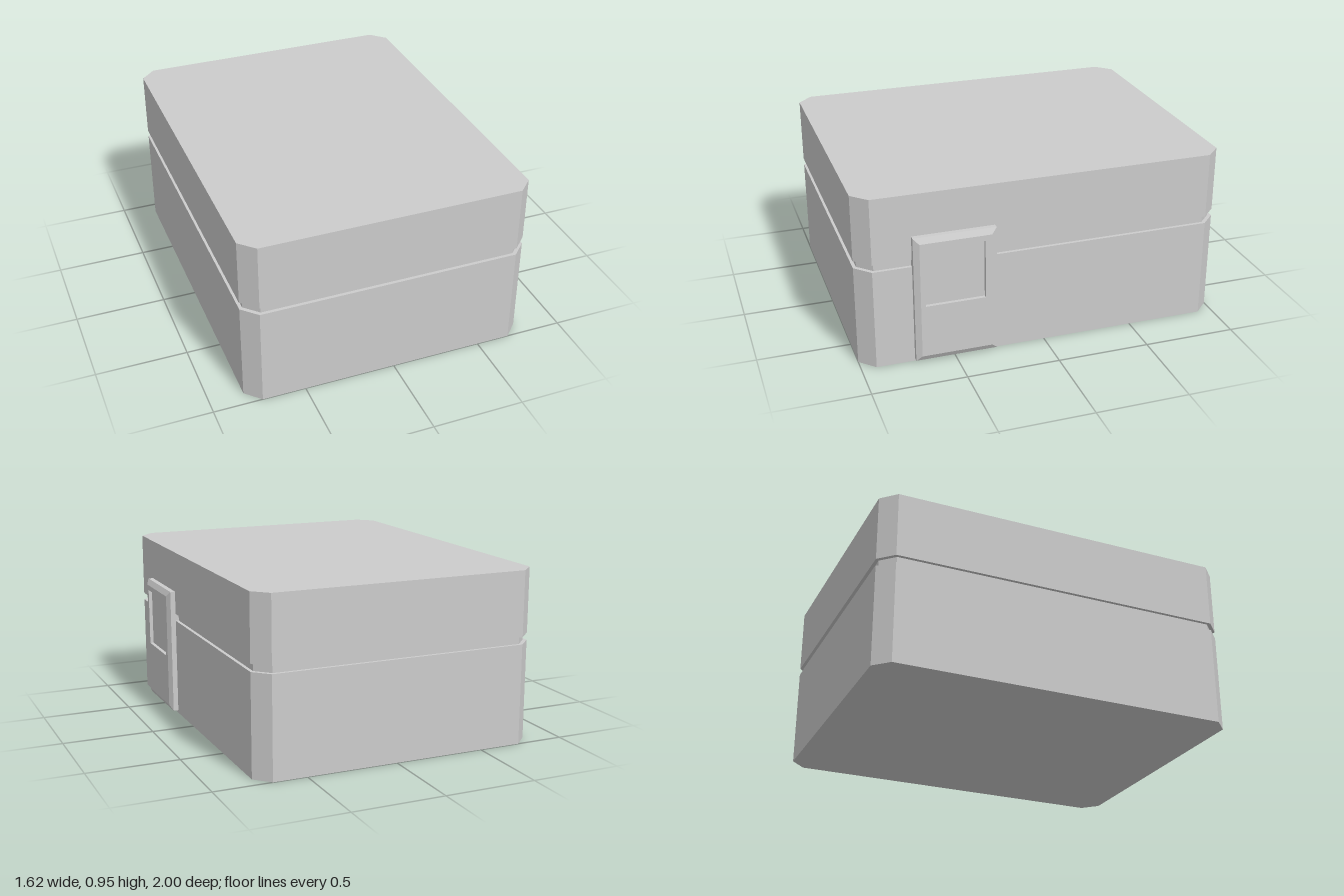
import * as THREE from 'three';

const material = new THREE.MeshStandardMaterial({ color: 0xcccccc, flatShading: true });

// Slab with chamfered vertical corners, spanning y0..y1
function chamferedSlab(name, y0, y1, inset) {
  const x = 0.79 - inset, z = 1 - inset, c = 0.08 - inset * 0.4;
  const outline = [
    [x - c, -z], [x, -z + c], [x, z - c], [x - c, z],
    [-x + c, z], [-x, z - c], [-x, -z + c], [-x + c, -z],
  ].map(([px, pz]) => new THREE.Vector2(px, -pz));
  const geometry = new THREE.ExtrudeGeometry(new THREE.Shape(outline), { depth: y1 - y0, bevelEnabled: false });
  geometry.rotateX(-Math.PI / 2).translate(-0.025, y0, 0);
  const mesh = new THREE.Mesh(geometry, material);
  mesh.name = name;
  return mesh;
}

// Rectangular rings [x, zMin, zMax, yMin, yMax] joined in order, closed by a flat end
function rectangularLoft(sections) {
  const rings = sections.map(([x, z0, z1, y0, y1]) => [[x, y0, z1], [x, y0, z0], [x, y1, z0], [x, y1, z1]]);
  const positions = [];
  const quad = (a, b, c, d) => positions.push(...a, ...b, ...c, ...a, ...c, ...d);
  for (let i = 0; i < rings.length - 1; i++) {
    for (let j = 0; j < 4; j++) {
      const k = (j + 1) % 4;
      quad(rings[i][j], rings[i][k], rings[i + 1][k], rings[i + 1][j]);
    }
  }
  quad(...rings[rings.length - 1]);
  const geometry = new THREE.BufferGeometry();
  geometry.setAttribute('position', new THREE.Float32BufferAttribute(positions, 3));
  geometry.computeVertexNormals();
  return geometry;
}

export function createModel() {
  const group = new THREE.Group();
  group.name = 'box';

  // Body: base and lid separated by a recessed seam
  group.add(
    chamferedSlab('base', 0, 0.55, 0),
    chamferedSlab('seam', 0.55, 0.59, 0.018),
    chamferedSlab('lid', 0.59, 0.948, 0),
  );

  // Side panel: bevelled rim with a shallow square recess
  const panel = new THREE.Mesh(rectangularLoft([
    [0.74, 0.275, 0.715, 0.015, 0.72],
    [0.793, 0.275, 0.715, 0.015, 0.72],
    [0.81, 0.305, 0.685, 0.045, 0.69],
    [0.81, 0.34, 0.66, 0.335, 0.66],
    [0.79, 0.34, 0.66, 0.335, 0.66],
  ]), material);
  panel.name = 'sidePanel';
  group.add(panel);

  return group;
}
